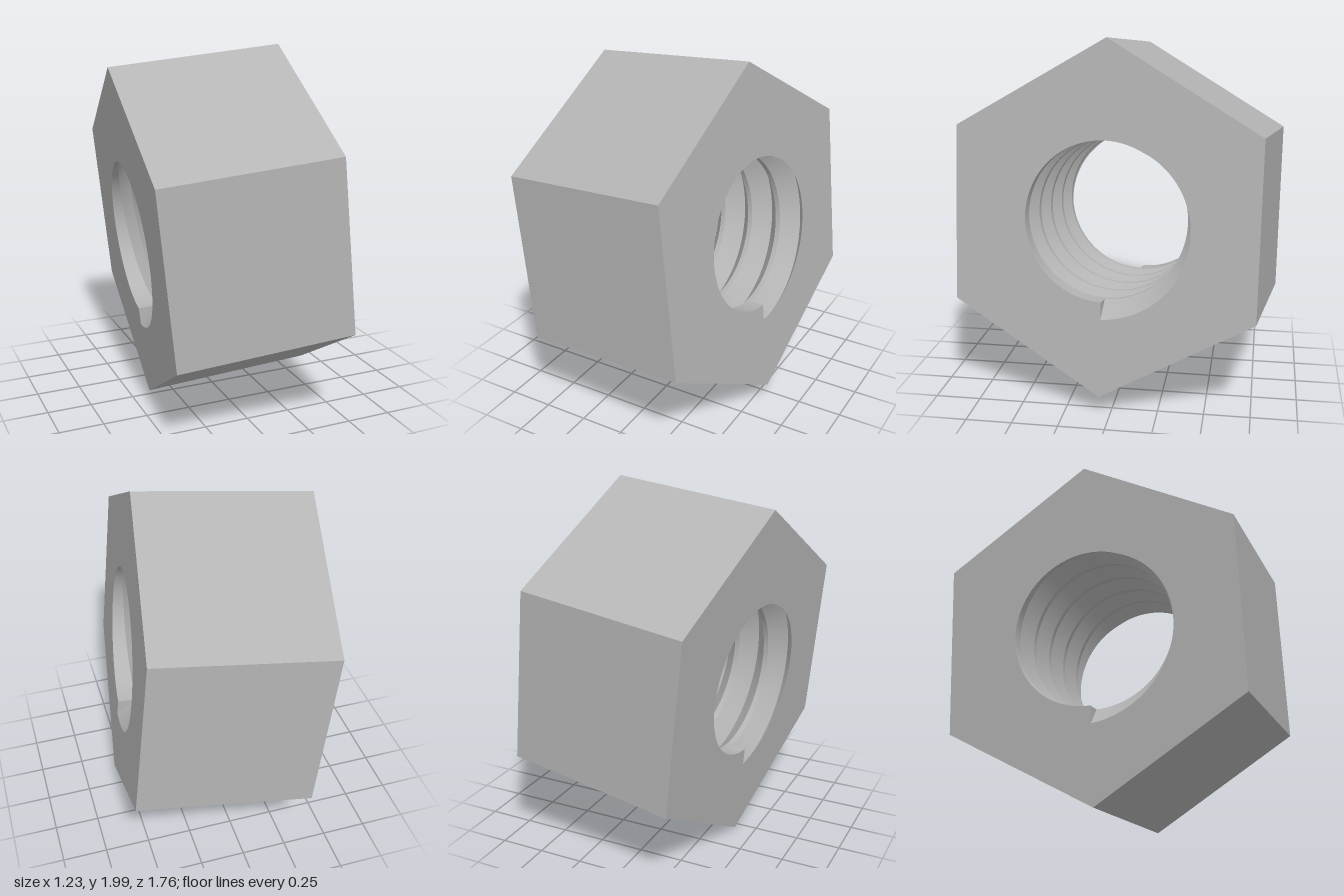
import * as THREE from 'three';

const LENGTH = 0.965;            // along the nut's axis
const HEX = 0.954;               // corner radius
const BORE = 0.43, ROOT = 0.525; // thread crest and root radii
const TURNS = 5, PITCH = LENGTH / TURNS, HALF = 0.082;
const STEPS = 96;

// Bore radius at a turn fraction t (0..1 from the bottom) and depth s
function boreRadius(t, s) {
  let r = BORE;
  for (let k = 0; k < TURNS; k++) {
    const d = Math.abs(s - PITCH * (t + k)) / HALF;
    if (d < 1) r = Math.max(r, BORE + (ROOT - BORE) * (1 - d));
  }
  return r;
}

function borePoint(t, s) {
  const r = boreRadius(t, s), a = t * Math.PI * 2;
  return [r * Math.sin(a), -r * Math.cos(a), LENGTH / 2 - s];
}

// Axial stations at t: groove start, root and end for every turn
function stations(t) {
  const list = [0];
  for (let k = 0; k < TURNS; k++) {
    for (const o of [-HALF, 0, HALF]) {
      list.push(THREE.MathUtils.clamp(PITCH * (t + k) + o, 0, LENGTH));
    }
  }
  list.push(LENGTH);
  return list;
}

function meshGeometry(positions, index) {
  const g = new THREE.BufferGeometry();
  g.setAttribute('position', new THREE.Float32BufferAttribute(positions, 3));
  g.setIndex(index);
  g.computeVertexNormals();
  return g;
}

// Helical strips: smooth around the bore, sharp across the profile
function threadGeometry() {
  const pos = [], index = [];
  const count = TURNS * 3 + 1;
  for (let j = 0; j < count; j++) {
    const base = pos.length / 3;
    for (let i = 0; i <= STEPS; i++) {
      const t = i / STEPS, s = stations(t);
      pos.push(...borePoint(t, s[j]), ...borePoint(t, s[j + 1]));
      if (i < STEPS) {
        const a = base + i * 2;
        index.push(a, a + 2, a + 3, a, a + 3, a + 1);
      }
    }
  }
  return meshGeometry(pos, index);
}

// Hexagonal end face with the spiral rim cut out
function endFaceGeometry() {
  const shape = new THREE.Shape();
  for (let i = 0; i < 6; i++) {
    const a = i * Math.PI / 3;
    shape[i ? 'lineTo' : 'moveTo'](-HEX * Math.sin(a), HEX * Math.cos(a));
  }
  const rim = [];
  for (let i = 0; i <= STEPS; i++) {
    const p = borePoint(i / STEPS, 0);
    rim.push(new THREE.Vector2(p[0], p[1]));
  }
  shape.holes.push(new THREE.Path(rim));
  return new THREE.ShapeGeometry(shape).translate(0, 0, LENGTH / 2);
}

export function createModel() {
  const steel = new THREE.MeshStandardMaterial({ color: 0xb4b4b4 });
  steel.name = 'steel grey';

  const nut = new THREE.Group();
  nut.name = 'hexNut';
  const add = (name, geometry, turn = 0) => {
    const mesh = new THREE.Mesh(geometry, steel);
    mesh.name = name;
    mesh.rotation.y = turn;
    nut.add(mesh);
  };

  // Six flat sides
  const sides = new THREE.CylinderGeometry(HEX, HEX, LENGTH, 6, 1, true)
    .rotateX(Math.PI / 2).toNonIndexed();
  sides.computeVertexNormals();
  add('hexSides', sides);

  add('innerThread', threadGeometry());

  // Both ends are the same under a half turn about the vertical
  const face = endFaceGeometry();
  const z = LENGTH / 2;
  const stop = meshGeometry([0, -ROOT, z, 0, -BORE, z - HALF, 0, -BORE, z], [0, 1, 2]);
  ['outer', 'rear'].forEach((end, i) => {
    add(end + 'EndFace', face, i * Math.PI);
    add(end + 'ThreadStart', stop, i * Math.PI);
  });

  // Tilt: local z is the bore axis, local y points to the top corner
  const axis = new THREE.Vector3(0.989, 0.1, 0.107).normalize();
  const up = new THREE.Vector3(-0.0925, 0.95, -0.01);
  up.addScaledVector(axis, -up.dot(axis)).normalize();
  const across = new THREE.Vector3().crossVectors(up, axis);
  nut.quaternion.setFromRotationMatrix(new THREE.Matrix4().makeBasis(across, up, axis));
  nut.position.y = 1;

  const model = new THREE.Group();
  model.name = 'model';
  model.add(nut);
  return model;
}
